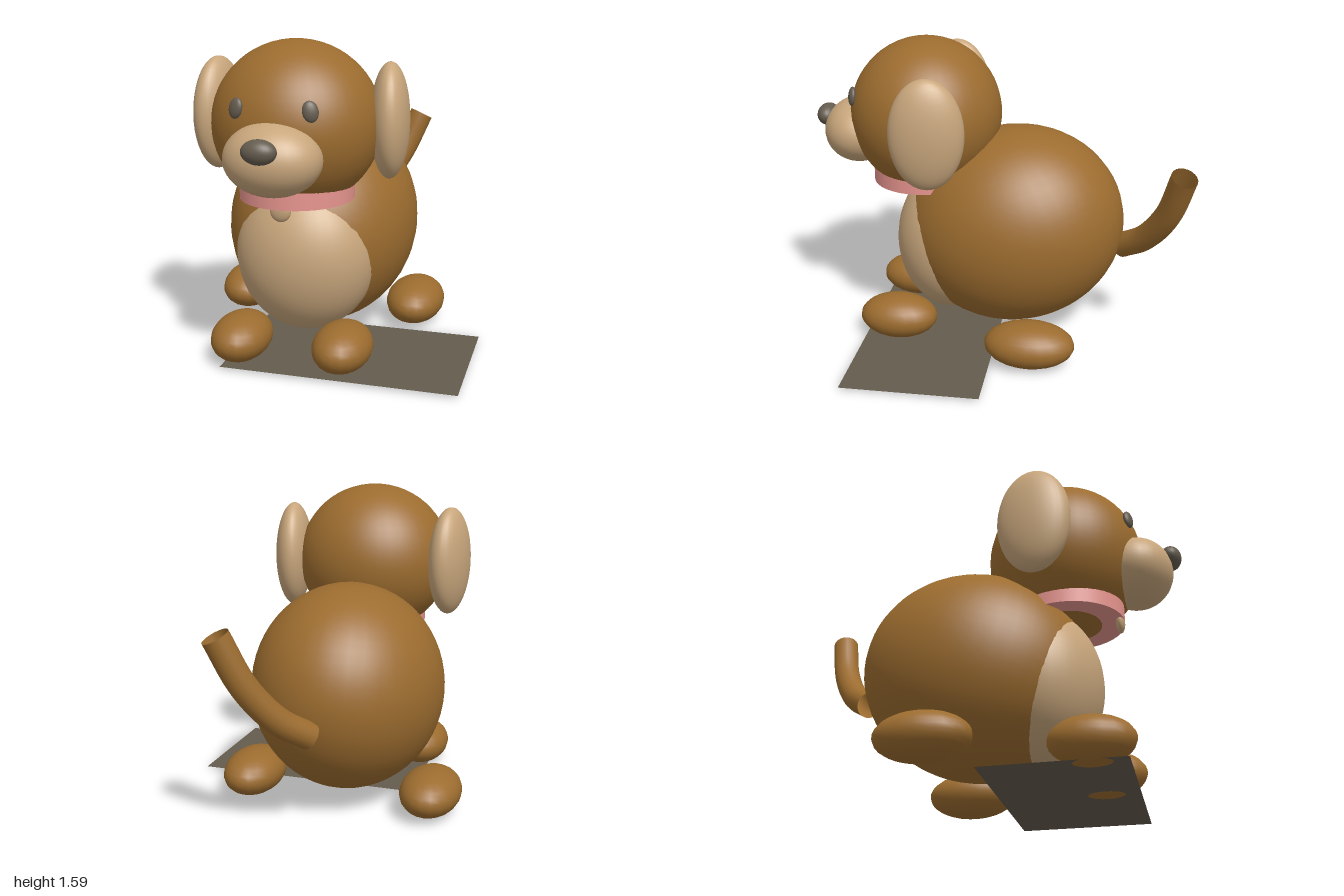
import * as THREE from 'three';

const CX = -0.114; // the dog's own centre line

function mat(name, color, side = THREE.FrontSide) {
  const m = new THREE.MeshStandardMaterial({ color, side });
  m.name = name;
  return m;
}

export function createModel() {
  const model = new THREE.Group();
  model.name = 'toyDog';

  const brown = mat('brown fur', 0x9c6c2f);
  const tailBrown = brown.clone();
  tailBrown.side = THREE.DoubleSide;
  const tan = mat('tan fur', 0xc8a67c);
  const grey = mat('dark grey', 0x655c4f, THREE.DoubleSide);
  const pink = mat('pink collar', 0xec9892);

  const add = (name, geometry, material, x, y, z) => {
    const mesh = new THREE.Mesh(geometry, material);
    mesh.name = name;
    mesh.position.set(x, y, z);
    model.add(mesh);
    return mesh;
  };
  // ellipsoid: x is measured from the dog's centre line
  const blob = (name, material, [x, y, z], [rx, ry, rz], segments = 32) => {
    const geometry = new THREE.SphereGeometry(1, segments, Math.round(segments * 0.75));
    geometry.scale(rx, ry, rz);
    return add(name, geometry, material, CX + x, y, z);
  };

  // body, leaning slightly, with a lighter belly
  blob('body', brown, [0, 0.592, -0.06], [0.491, 0.533, 0.589], 40).rotation.x = 0.27;
  blob('belly', tan, [0, 0.5, 0.27], [0.36, 0.4, 0.305], 40);

  // head
  blob('head', brown, [0, 1.19, 0.408], [0.411, 0.4, 0.395], 40);
  blob('muzzle', tan, [0, 1.088, 0.768], [0.231, 0.172, 0.186]);
  blob('nose', grey, [0, 1.158, 0.945], [0.082, 0.057, 0.055], 24);

  // paired parts
  for (const s of [-1, 1]) {
    const side = s > 0 ? 'left' : 'right';
    const eye = blob(side + 'Eye', grey, [s * 0.175, 1.31, 0.755], [0.037, 0.049, 0.02], 20);
    eye.rotation.set(-0.15, s * 0.4, s * 0.25);
    blob(side + 'Ear', tan, [s * 0.435, 1.205, 0.318], [0.096, 0.281, 0.187]).rotation.y = s * 0.16;
    blob(side + 'FrontPaw', brown, [s * 0.26, 0.12, 0.533], [0.147, 0.117, 0.208], 20);
    blob(side + 'BackPaw', brown, [s * 0.475, 0.12, -0.2], [0.154, 0.117, 0.233], 20);
  }

  // collar and tag
  add('collar', new THREE.CylinderGeometry(0.28, 0.28, 0.09, 40), pink, CX, 0.875, 0.415);
  blob('collarTag', tan, [0, 0.825, 0.672], [0.052, 0.056, 0.023], 20);

  // open-ended curved tail
  const tailPath = new THREE.CatmullRomCurve3([
    new THREE.Vector3(-0.1, 0.5, -0.64),
    new THREE.Vector3(0.01, 0.6, -0.76),
    new THREE.Vector3(0.13, 0.78, -0.865),
    new THREE.Vector3(0.235, 1.02, -0.93),
  ]);
  add('tail', new THREE.TubeGeometry(tailPath, 24, 0.067, 20, false), tailBrown, 0, 0, 0);

  // flat mat under the front paws
  const floor = new THREE.PlaneGeometry(1.17, 0.704);
  floor.rotateX(-Math.PI / 2);
  add('floorMat', floor, grey, 0.155, 0.016, 0.352);

  return model;
}
